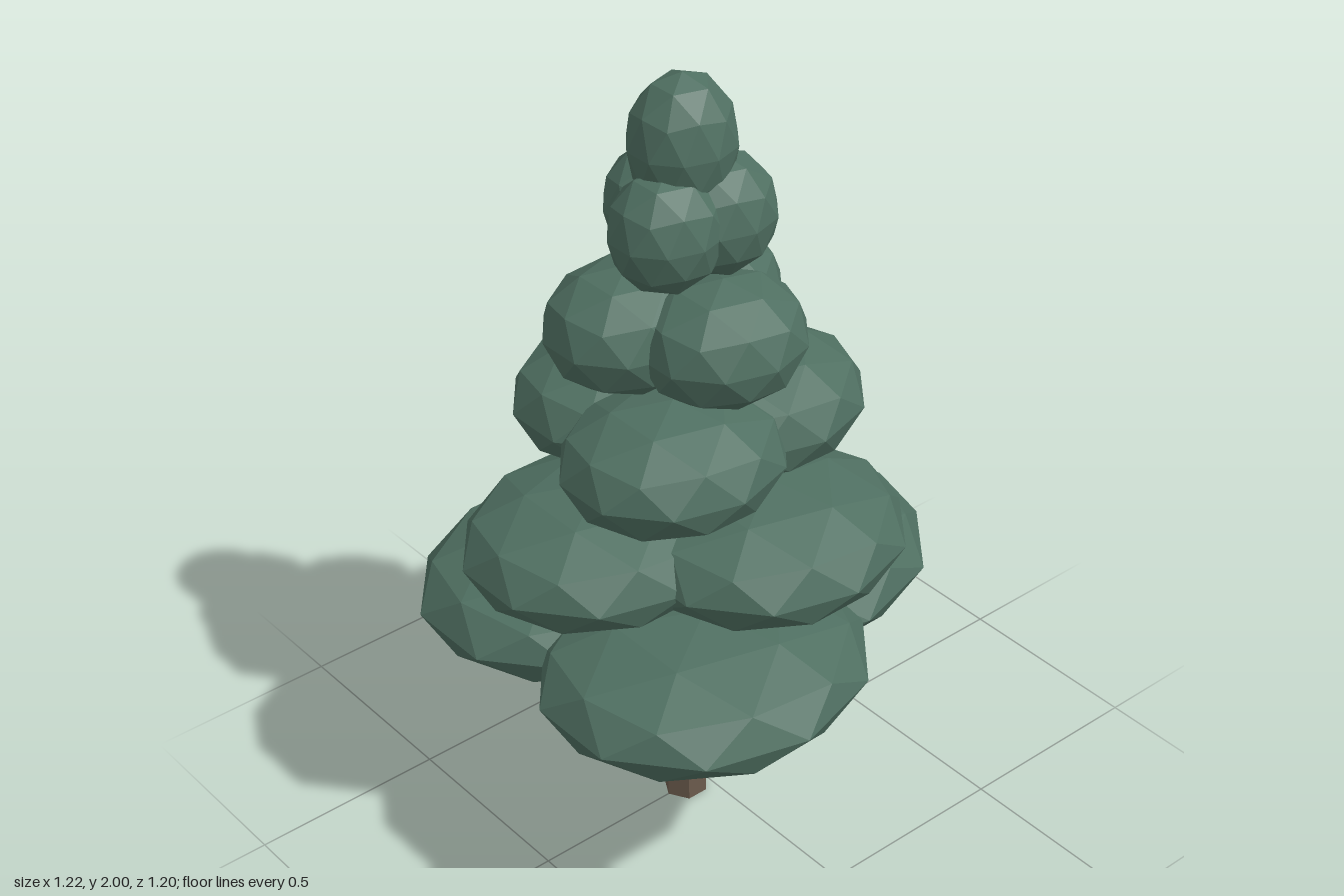
import * as THREE from 'three';

export function createModel() {
  const tree = new THREE.Group();
  tree.name = 'pineTree';
  const needles = new THREE.MeshStandardMaterial({ color: 0x4f6f61 });
  needles.name = 'needleGreen';
  const bark = new THREE.MeshStandardMaterial({ color: 0x6b5a4c });
  bark.name = 'barkBrown';
  const axisX = -0.06;

  // Faceted ball with a corner at each pole, stretched to the given radii
  function blob(name, x, y, z, rx, ry, rz) {
    const geo = new THREE.IcosahedronGeometry(1, 1);
    geo.rotateZ(Math.atan(2 / (1 + Math.sqrt(5))));
    geo.rotateY(Math.PI);
    geo.scale(rx, ry, rz);
    geo.deleteAttribute('normal');
    geo.computeVertexNormals(); // unindexed, so normals are per face
    const mesh = new THREE.Mesh(geo, needles);
    mesh.name = name;
    mesh.position.set(x, y, z);
    return mesh;
  }

  // Six-sided tapered trunk
  const trunkGeo = new THREE.CylinderGeometry(0.042, 0.056, 0.7, 6).toNonIndexed();
  trunkGeo.rotateY(Math.PI / 2);
  trunkGeo.computeVertexNormals();
  const trunk = new THREE.Mesh(trunkGeo, bark);
  trunk.name = 'trunk';
  trunk.position.set(axisX, 0.35, 0);
  tree.add(trunk);

  // Five tiers of three clumps, each tier turned further: [y, offset, rx, ry, rz]
  const tiers = [
    [0.605, 0.27, 0.42, 0.155, 0.366],
    [0.867, 0.225, 0.347, 0.152, 0.307],
    [1.13, 0.178, 0.28, 0.152, 0.247],
    [1.391, 0.128, 0.208, 0.153, 0.187],
    [1.655, 0.08, 0.143, 0.148, 0.128],
  ];
  tiers.forEach(([y, d, rx, ry, rz], i) => {
    const tier = new THREE.Group();
    tier.name = 'branchTier' + (i + 1);
    for (let k = 0; k < 3; k++) {
      const a = i * 1.2 + (k * Math.PI * 2) / 3;
      tier.add(blob('needleClump', axisX + d * Math.cos(a), y, d * Math.sin(a), rx, ry, rz));
    }
    tree.add(tier);
  });

  // Crown tip
  tree.add(blob('crownTip', axisX, 1.835, 0, 0.132, 0.165, 0.122));
  return tree;
}
